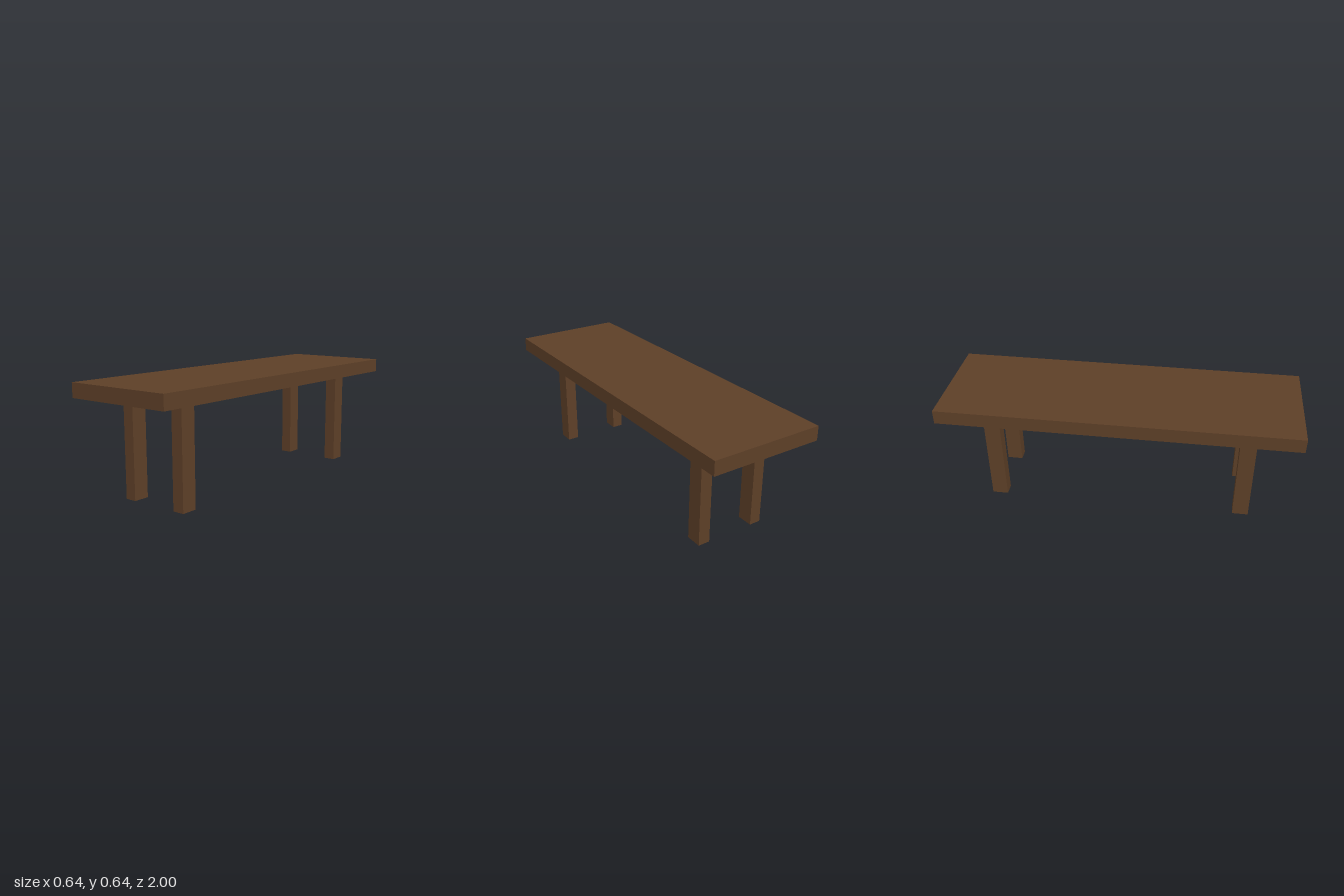
import * as THREE from 'three';

export function createModel() {
  const group = new THREE.Group();
  group.name = 'bench';
  const wood = new THREE.MeshStandardMaterial({ color: 0x5d3f27 });

  // Box resting with its underside at height y
  function addBox(name, w, h, d, x, y, z) {
    const mesh = new THREE.Mesh(new THREE.BoxGeometry(w, h, d), wood);
    mesh.name = name;
    mesh.position.set(x, y + h / 2, z);
    group.add(mesh);
  }

  const legHeight = 0.561;

  // Long plank top
  addBox('top', 0.64, 0.08, 2, 0, legHeight, 0);

  // Four legs, set in from the edges
  for (const [end, z] of [['front', 0.719], ['back', -0.717]]) {
    addBox(end + 'LeftLeg', 0.068, legHeight, 0.091, 0.169, 0, z);
    addBox(end + 'RightLeg', 0.066, legHeight, 0.091, -0.176, 0, z);
  }

  return group;
}
